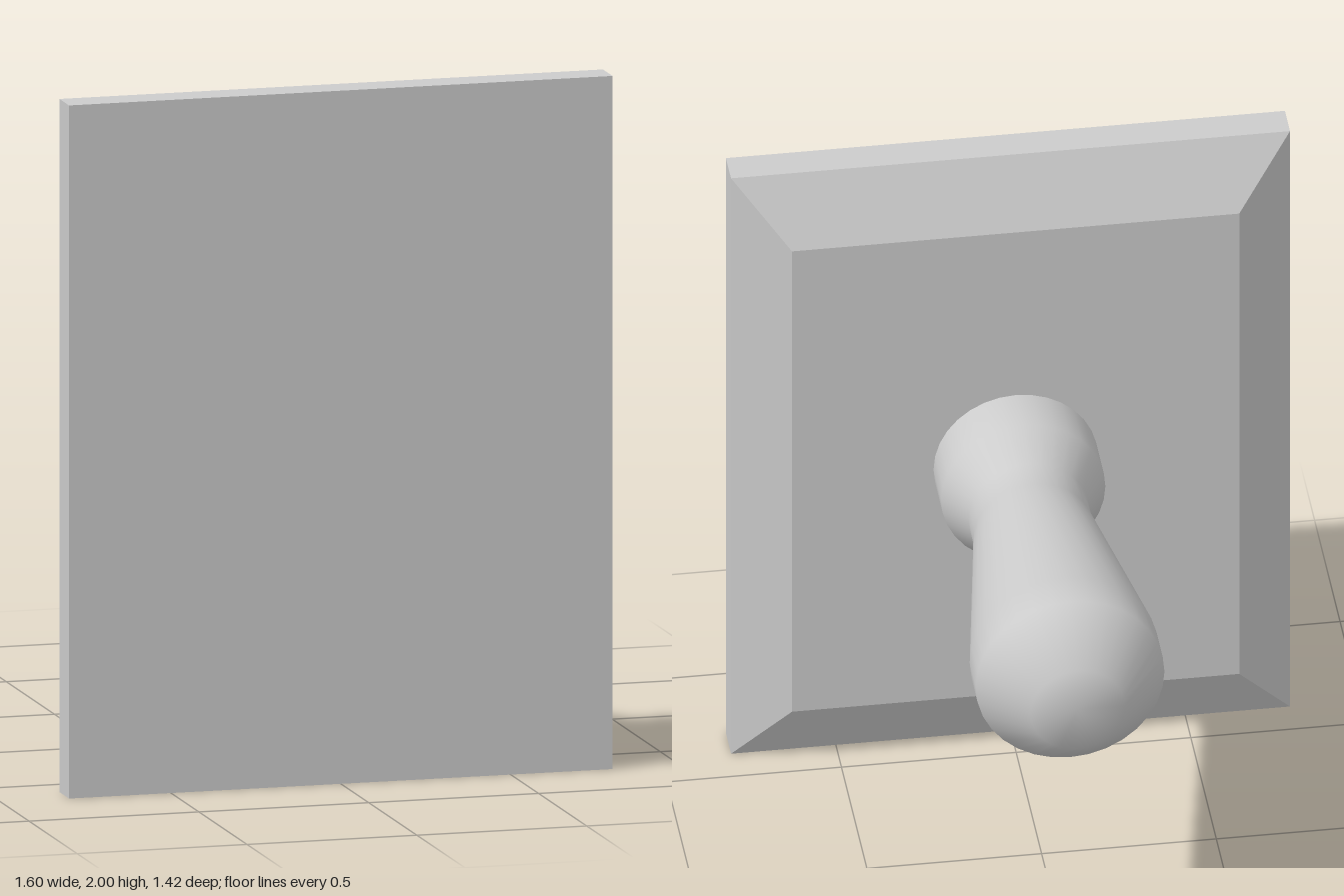
import * as THREE from 'three';

export function createModel() {
  const model = new THREE.Group();
  const material = new THREE.MeshStandardMaterial({ color: 0xcccccc });

  const add = (name, geometry) => {
    const mesh = new THREE.Mesh(geometry, material);
    mesh.name = name;
    model.add(mesh);
    return mesh;
  };

  // Upright plate: a box in two layers whose back face is drawn in to form the bevel
  const box = new THREE.BoxGeometry(1.6, 2, 0.2, 1, 1, 2);
  const pos = box.attributes.position;
  for (let i = 0; i < pos.count; i++) {
    if (pos.getZ(i) < -0.05) pos.setXY(i, pos.getX(i) * 0.8, pos.getY(i) * 0.9 * (0.8 / 0.9));
  }
  const plate = box.toNonIndexed();
  plate.computeVertexNormals(); // crisp facets
  add('plate', plate).position.set(0, 1, 0.61);

  // Turned handle: profile of [radius, distance towards the back]
  const profile = [
    [0.235, -0.51], [0.235, -0.36], [0.172, -0.26], [0.172, -0.16],
    [0.27, 0.44], [0.27, 0.56], [0.135, 0.71], [0, 0.71],
  ].map(([r, d]) => new THREE.Vector2(r, d));
  const handle = new THREE.LatheGeometry(profile, 32);
  handle.rotateX(-Math.PI / 2);
  add('handle', handle).position.y = 1;

  return model;
}
